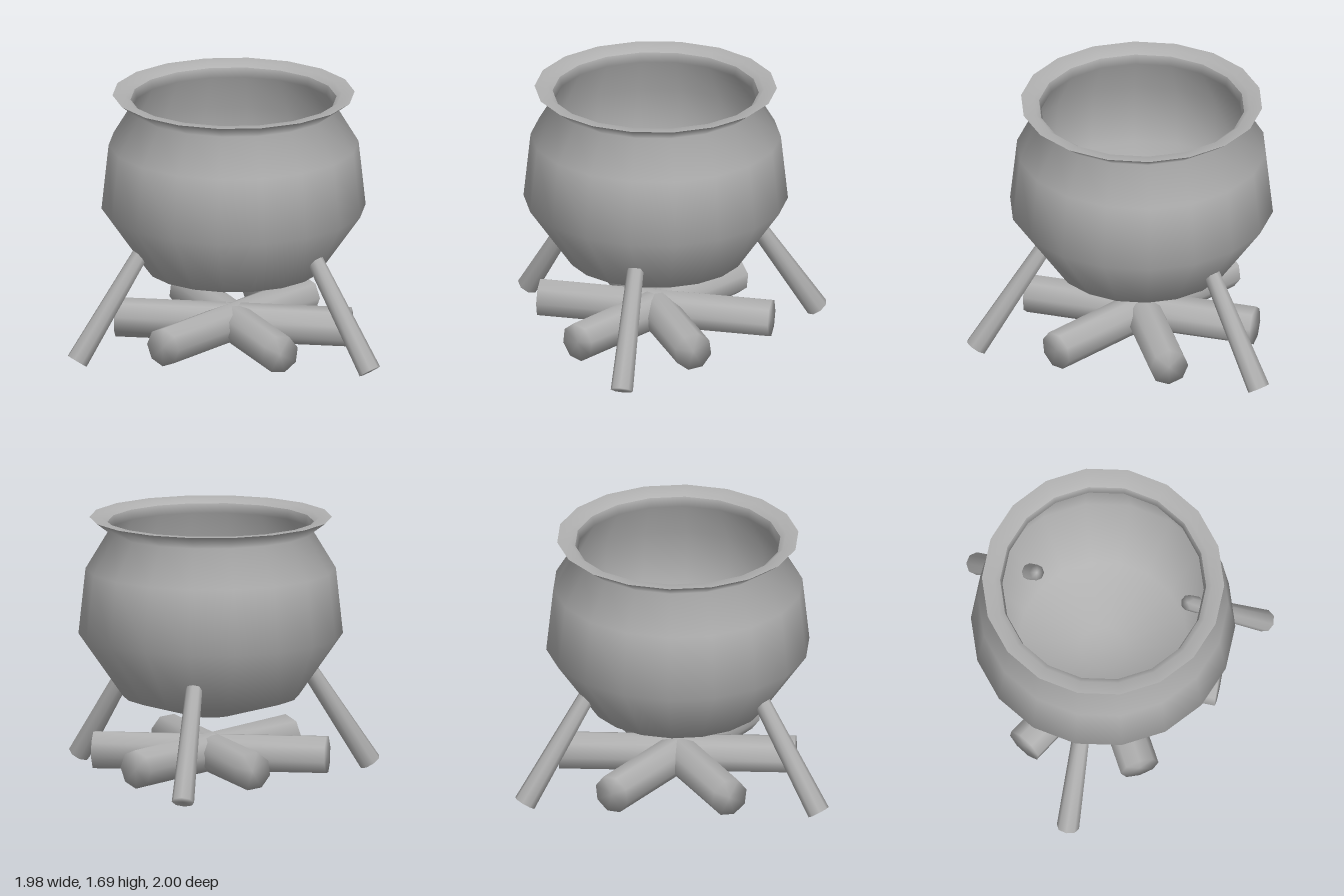
import * as THREE from 'three';
import { mergeVertices } from 'three/addons/utils/BufferGeometryUtils.js';

const CX = -0.15; // axis of the pot
const iron = new THREE.MeshStandardMaterial({ color: 0xb0b0b0 });
iron.name = 'grey';

// Surface of revolution with a corner on the x axis
function lathe(name, profile) {
  const pts = profile.map(([r, y]) => new THREE.Vector2(r, y));
  const mesh = new THREE.Mesh(new THREE.LatheGeometry(pts, 18, Math.PI / 2), iron);
  mesh.name = name;
  return mesh;
}

// Tapered eight-sided rod between two points, softly shaded over its ends
function rod(name, from, to, rFrom, rTo) {
  const a = new THREE.Vector3(...from), b = new THREE.Vector3(...to);
  let geo = new THREE.CylinderGeometry(rTo, rFrom, a.distanceTo(b), 8);
  geo.deleteAttribute('uv');
  geo.deleteAttribute('normal');
  geo = mergeVertices(geo);
  geo.computeVertexNormals();
  const mesh = new THREE.Mesh(geo, iron);
  mesh.name = name;
  mesh.position.copy(a).add(b).multiplyScalar(0.5);
  mesh.quaternion.setFromUnitVectors(new THREE.Vector3(0, 1, 0), b.sub(a).normalize());
  return mesh;
}

export function createModel() {
  const model = new THREE.Group();
  model.name = 'cauldronOnFire';

  // Pot: outer shell, rim and interior
  const pot = new THREE.Group();
  pot.name = 'pot';
  pot.add(
    lathe('potShell', [[0, 0.42], [0.145, 0.42], [0.56, 0.54], [0.84, 0.94], [0.795, 1.36], [0.65, 1.6], [0.77, 1.69]]),
    lathe('potRim', [[0.77, 1.69], [0.69, 1.685], [0.655, 1.66]]),
    lathe('potInterior', [[0.655, 1.66], [0.64, 1.6], [0.765, 1.36], [0.805, 0.94], [0.54, 0.57], [0.145, 0.45], [0, 0.45]])
  );
  model.add(pot);

  // Three splayed legs that run through the pot wall
  const legs = new THREE.Group();
  legs.name = 'legs';
  for (let i = 0; i < 3; i++) {
    const leg = new THREE.Group();
    leg.name = 'leg' + (i + 1);
    leg.add(rod('legRod', [1.08, 0.042, 0], [0.565, 0.82, 0], 0.072, 0.05));
    leg.rotation.y = (i * Math.PI * 2) / 3;
    legs.add(leg);
  }
  legs.position.x = CX;
  model.add(legs);

  // Three crossed logs, each slightly tilted
  const logs = new THREE.Group();
  logs.name = 'logs';
  const ends = [[0.187, 0.165], [0.168, 0.175], [0.165, 0.178]];
  ends.forEach(([y0, y1], i) => {
    const t = (i * Math.PI) / 3;
    const x = 0.75 * Math.sin(t), z = 0.75 * Math.cos(t);
    logs.add(rod('log' + (i + 1), [x, y0, z], [-x, y1, -z], 0.125, 0.125));
  });
  logs.position.x = CX;
  model.add(logs);

  pot.position.x = CX;
  return model;
}
